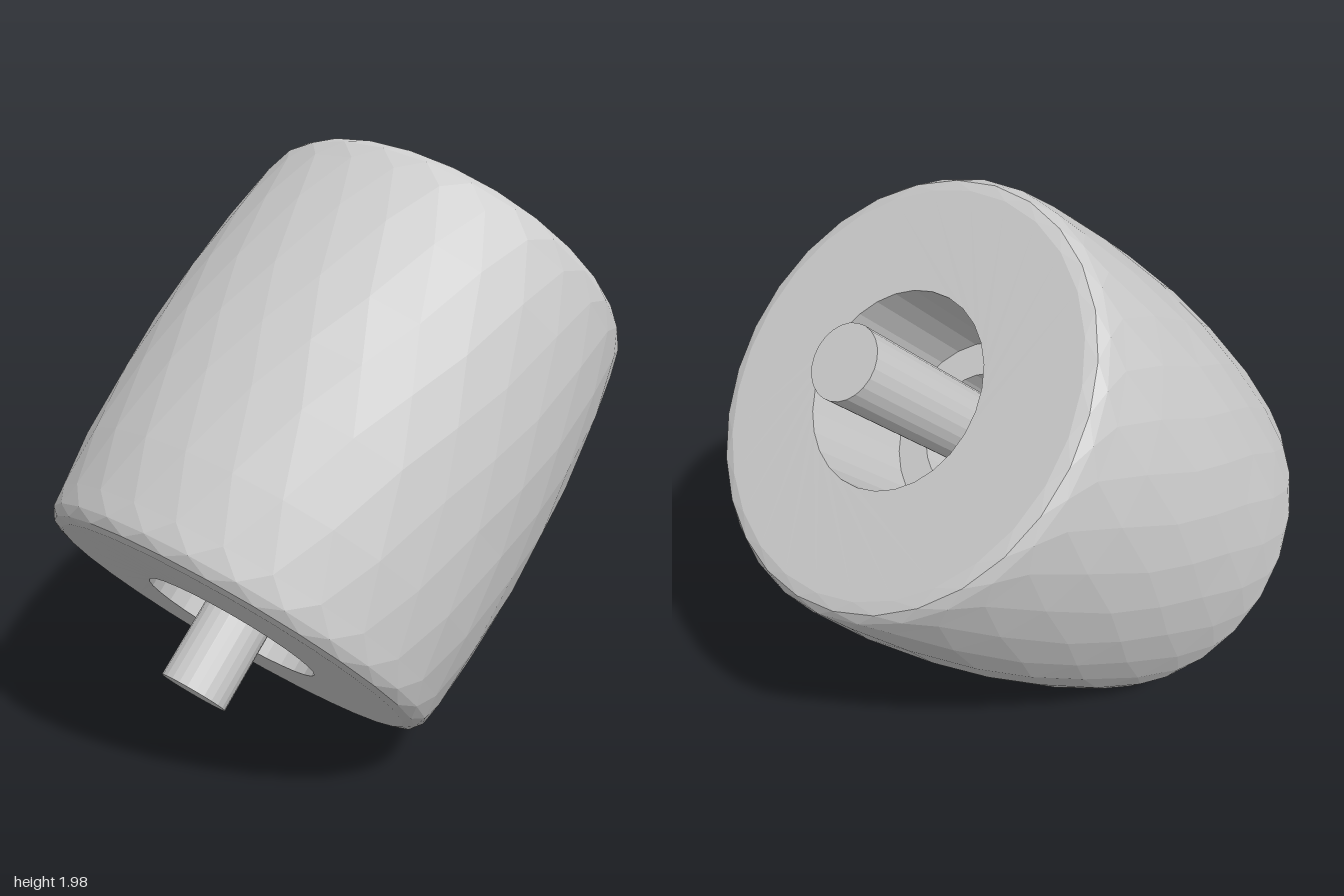
import * as THREE from 'three';

const SIDES = 28;

export function createModel() {
  const model = new THREE.Group();
  model.name = 'tiltedRoller';
  const material = new THREE.MeshStandardMaterial({ color: 0xcccccc, flatShading: true });

  // Upper half of the outside profile: [radius, height along the axle]
  const upper = [[0.745, 0.2], [0.729, 0.45], [0.705, 0.64], [0.692, 0.706], [0.67, 0.737], [0.635, 0.747]];
  const lower = upper.map(([r, h]) => [r, -h]).reverse();
  const outside = [...lower, [0.75, 0], ...upper];

  // Closed profile: barrel, end faces, recesses and the bore through the web
  const profile = [
    [0.2, -0.3], [0.31, -0.3], [0.31, -0.745],
    ...outside,
    [0.31, 0.745], [0.31, 0.3], [0.2, 0.3], [0.2, -0.3],
  ].map(([r, h]) => new THREE.Vector2(r, h));
  const barrel = new THREE.LatheGeometry(profile, SIDES);

  // Stagger the barrel rows by half a side each for triangular facets
  const pos = barrel.attributes.position;
  const first = 3, last = first + outside.length - 1, middle = (first + last) / 2;
  const v = new THREE.Vector3();
  const axis = new THREE.Vector3(0, 1, 0);
  for (let i = 0; i < pos.count; i++) {
    const row = i % profile.length;
    if (row < first || row > last) continue;
    v.fromBufferAttribute(pos, i).applyAxisAngle(axis, (row - middle) * Math.PI / SIDES);
    pos.setXYZ(i, v.x, v.y, v.z);
  }
  barrel.computeVertexNormals();
  const roller = new THREE.Mesh(barrel, material);
  roller.name = 'rollerBarrel';

  // Axle through the middle
  const axle = new THREE.Mesh(new THREE.CylinderGeometry(0.117, 0.117, 1.966, 24), material);
  axle.name = 'axle';

  model.add(roller, axle);

  // Lean the whole roller 45 degrees and stand it on the floor
  model.rotation.z = -Math.PI / 4;
  model.position.y = 1;
  const root = new THREE.Group();
  root.name = 'roller';
  root.add(model);
  return root;
}
